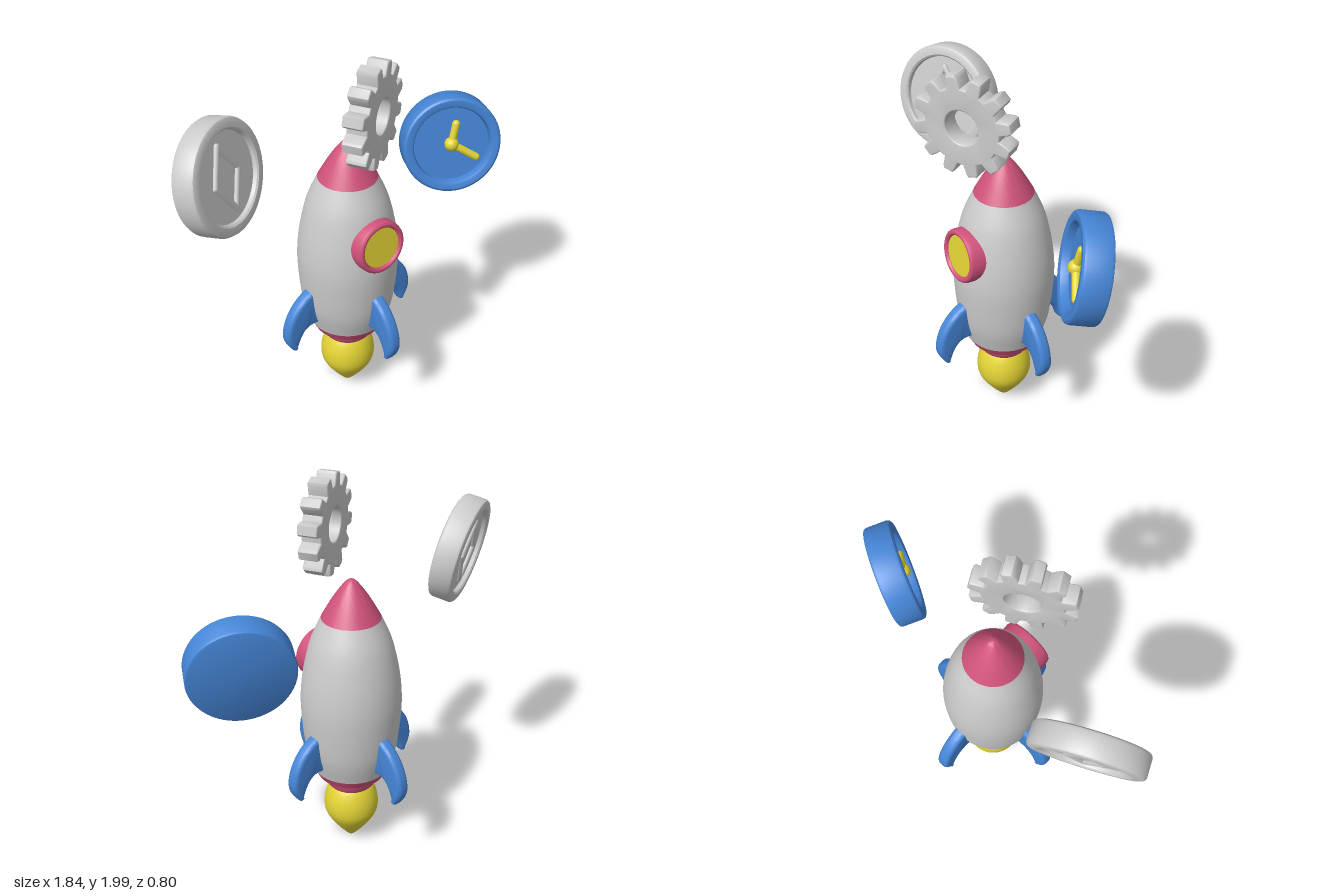
import * as THREE from 'three';
import { toCreasedNormals } from 'three/addons/utils/BufferGeometryUtils.js';

const material = (color) => new THREE.MeshStandardMaterial({ color, side: THREE.DoubleSide });
const grey = material(0xcccccc);
const pink = material(0xd0527a);
const blue = material(0x4585d6);
const yellow = material(0xe3d435);

function add(parent, name, geometry, mat) {
  const mesh = new THREE.Mesh(geometry, mat);
  mesh.name = name;
  parent.add(mesh);
  return mesh;
}

const vectors = (points) => points.map(([x, y]) => new THREE.Vector2(x, y));
const smoothCurve = (points, count) => new THREE.SplineCurve(vectors(points)).getPoints(count)
  .map((p) => new THREE.Vector2(Math.max(p.x, 0), p.y));
const lathe = (points) => toCreasedNormals(new THREE.LatheGeometry(points, 64), 0.6);

// Turned part whose axis points along +z
const disc = (points) => lathe(vectors(points)).rotateX(Math.PI / 2);

// Extrusion centred on z = 0, with rounded edges kept inside the outline
function plate(shape, depth, bevel) {
  const geometry = new THREE.ExtrudeGeometry(shape, {
    depth: depth - 2 * bevel, bevelThickness: bevel, bevelSize: bevel,
    bevelOffset: -bevel, bevelSegments: 4, curveSegments: 24,
  });
  geometry.translate(0, 0, bevel - depth / 2);
  return toCreasedNormals(geometry, 0.6);
}

function finGeometry() {
  const s = new THREE.Shape();
  s.moveTo(0.15, 0.74);
  s.lineTo(0.23, 0.745);
  s.bezierCurveTo(0.33, 0.71, 0.4, 0.61, 0.402, 0.51);
  s.bezierCurveTo(0.402, 0.47, 0.375, 0.43, 0.36, 0.412);
  s.quadraticCurveTo(0.35, 0.402, 0.34, 0.42);
  s.bezierCurveTo(0.31, 0.51, 0.28, 0.545, 0.21, 0.53);
  s.lineTo(0.15, 0.52);
  return plate(s, 0.068, 0.022);
}

function gearGeometry(teeth = 12, root = 0.192, tip = 0.252) {
  const s = new THREE.Shape();
  const step = (Math.PI * 2) / teeth;
  for (let i = 0; i < teeth; i++) {
    const centre = i * step + 0.21;
    [[-0.36, root], [-0.24, tip - 0.012], [-0.17, tip], [0.17, tip], [0.24, tip - 0.012], [0.36, root]]
      .forEach(([f, r], k) => {
        const a = centre + f * step;
        s[i + k ? 'lineTo' : 'moveTo'](r * Math.cos(a), r * Math.sin(a));
      });
  }
  s.closePath();
  s.holes.push(new THREE.Path().absarc(0, 0, 0.085, 0, Math.PI * 2, true));
  return plate(s, 0.1, 0.008);
}

// Straight round bar with domed ends between two points
function bar(a, b, radius) {
  const from = new THREE.Vector3(...a), to = new THREE.Vector3(...b);
  const dir = to.clone().sub(from);
  const geometry = new THREE.CapsuleGeometry(radius, dir.length(), 6, 16);
  geometry.applyQuaternion(new THREE.Quaternion()
    .setFromUnitVectors(new THREE.Vector3(0, 1, 0), dir.normalize()));
  const mid = from.add(to).multiplyScalar(0.5);
  return geometry.translate(mid.x, mid.y, mid.z);
}

function tiltedGroup(parent, name, position, pitch, yaw, roll = 0) {
  const group = new THREE.Group();
  group.name = name;
  group.position.set(...position);
  group.rotation.set(pitch, yaw, roll, 'YXZ');
  parent.add(group);
  return group;
}

export function createModel() {
  const model = new THREE.Group();
  model.name = 'rocketScene';

  // Rocket hull, nose, tail collar, nozzle and flame
  const rocket = new THREE.Group();
  rocket.name = 'rocket';
  model.add(rocket);
  add(rocket, 'hull', lathe(smoothCurve([[0.2, 0.48], [0.237, 0.62], [0.255, 0.82],
    [0.252, 0.95], [0.233, 1.08], [0.2, 1.21], [0.148, 1.33]], 48)), grey);
  add(rocket, 'noseCone', lathe(smoothCurve([[0.148, 1.33], [0.087, 1.437],
    [0.03, 1.515], [0, 1.535]], 20)), pink);
  add(rocket, 'tailCollar', lathe(vectors([[0, 0.435], [0.165, 0.43], [0.175, 0.434],
    [0.2, 0.48]])), pink);
  add(rocket, 'nozzle', lathe(vectors([[0.135, 0.44], [0.133, 0.41], [0.124, 0.37],
    [0.116, 0.361], [0.1, 0.361], [0.1, 0.4], [0, 0.4]])), pink);
  add(rocket, 'flame', lathe(smoothCurve([[0, 0.008], [0.025, 0.025], [0.085, 0.1],
    [0.132, 0.175], [0.143, 0.235], [0.133, 0.3], [0.105, 0.36], [0.06, 0.395], [0, 0.4]], 40)), yellow);

  // Four fins around the tail
  const fin = finGeometry();
  for (let i = 0; i < 4; i++) add(rocket, 'fin', fin, blue).rotation.y = i * Math.PI / 2;

  // Porthole
  const porthole = tiltedGroup(rocket, 'porthole', [0.005, 1.045, 0.23], -0.1, 0);
  add(porthole, 'portholeFrame', disc([[0.137, -0.06], [0.137, 0.025], [0.133, 0.037],
    [0.125, 0.043], [0.115, 0.043], [0.108, 0.038], [0.105, 0.03], [0.105, -0.02]]), pink);
  add(porthole, 'portholeGlass', new THREE.CircleGeometry(0.107, 48), yellow).position.z = 0.03;

  // Floating gear
  const gear = tiltedGroup(model, 'gear', [-0.008, 1.752, 0.195], 0, 0.52);
  add(gear, 'gearWheel', gearGeometry(), grey);

  // Floating coin: raised rim and a plain diamond relief on both faces
  const coin = tiltedGroup(model, 'coin', [-0.656, 1.532, -0.083], -0.2, 0.45, 0.08);
  const half = [[0, 0.036], [0.213, 0.036], [0.217, 0.055], [0.225, 0.062],
    [0.255, 0.062], [0.267, 0.056], [0.273, 0.044]];
  const mirrored = half.map(([r, z]) => [r, -z]);
  add(coin, 'coinDisc', disc([...mirrored, ...half.reverse()]), grey);
  const corners = [[0, 0.16], [0.095, 0], [0, -0.16], [-0.095, 0]];
  for (const z of [-0.038, 0.038]) {
    corners.forEach((c, i) => add(coin, 'coinRelief',
      bar([...c, z], [...corners[(i + 1) % 4], z], 0.015), grey));
  }

  // Floating clock: recessed dial, hub and two hands
  const clock = tiltedGroup(model, 'clock', [0.663, 1.285, 0.002], -0.17, -0.5);
  add(clock, 'clockCase', disc([[0, -0.07], [0.242, -0.07], [0.251, -0.066], [0.256, -0.056],
    [0.256, 0.052], [0.252, 0.063], [0.242, 0.07], [0.215, 0.07], [0.205, 0.065],
    [0.2, 0.055], [0.197, 0.026], [0, 0.026]]), blue);
  add(clock, 'clockHub', new THREE.SphereGeometry(0.037, 24, 16), yellow).position.z = 0.04;
  add(clock, 'shortHand', bar([0, 0, 0.04], [0.022, 0.108, 0.04], 0.02), yellow);
  add(clock, 'longHand', bar([0, 0, 0.04], [0.13, -0.08, 0.04], 0.02), yellow);

  return model;
}
